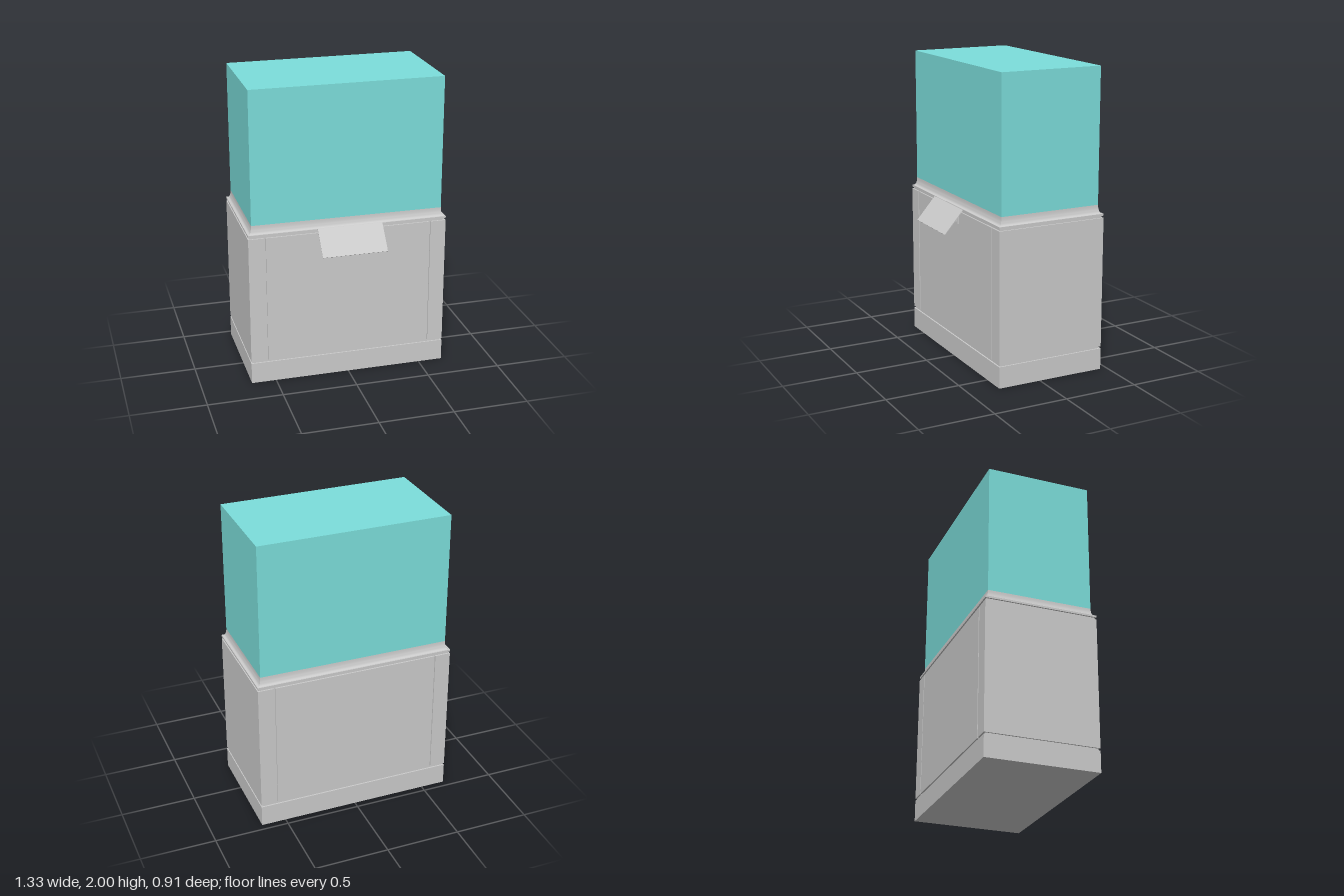
import * as THREE from 'three';
import { toCreasedNormals } from 'three/addons/utils/BufferGeometryUtils.js';

const W = 1.33, D = 0.75, CZ = -0.08; // cabinet footprint and its z centre

export function createModel() {
  const model = new THREE.Group();
  model.name = 'displayCase';
  const grey = new THREE.MeshStandardMaterial({ color: 0xcccccc });
  const glass = new THREE.MeshStandardMaterial({ color: 0x7cdedb });

  const add = (name, geometry, material = grey) => {
    const mesh = new THREE.Mesh(geometry, material);
    mesh.name = name;
    model.add(mesh);
    return mesh;
  };
  // Box given by its ranges along each axis
  const box = (name, [x0, x1], [y0, y1], [z0, z1], material) => {
    const mesh = add(name, new THREE.BoxGeometry(x1 - x0, y1 - y0, z1 - z0), material);
    mesh.position.set((x0 + x1) / 2, (y0 + y1) / 2, (z0 + z1) / 2);
    return mesh;
  };
  // Box with the cabinet's footprint, pulled in by an inset
  const slab = (name, inset, y, material) =>
    box(name, [inset - W / 2, W / 2 - inset], y,
      [CZ - D / 2 + inset, CZ + D / 2 - inset], material);

  // Pedestal: plinth, recessed core showing in the gaps, and cladding
  slab('plinth', 0, [0, 0.143]);
  slab('recessedCore', 0.01, [0.143, 1.042]);
  const panelY = [0.157, 1.027];
  const back = CZ - D / 2, front = CZ + D / 2;
  for (const s of [-1, 1]) {
    const xs = [s * 0.56, s * W / 2].sort((a, b) => a - b);
    box(s > 0 ? 'leftSidePanel' : 'rightSidePanel', xs, panelY, [back, front]);
  }
  box('frontPanel', [-0.55, 0.55], panelY, [front - 0.03, front]);
  box('backPanel', [-0.55, 0.55], panelY, [back, back + 0.03]);

  // Ledge and concave cornice, swept around the rectangle with mitred corners
  const profile = [[0, 1.041], [0, 1.054], [0.006, 1.054]];
  for (let i = 1; i <= 8; i++) {
    const a = (i / 8) * Math.PI / 2;
    profile.push([0.006 + 0.021 * Math.sin(a), 1.11 - 0.056 * Math.cos(a)]);
  }
  profile.unshift([0.04, 1.041]);
  profile.push([0.04, 1.11]);
  const corners = [[-1, 1], [1, 1], [1, -1], [-1, -1]];
  const at = ([inset, y], [sx, sz]) =>
    [sx * (W / 2 - inset), y, CZ + sz * (D / 2 - inset)];
  const pos = [];
  for (let i = 0; i < profile.length - 1; i++) {
    corners.forEach((c, k) => {
      const n = corners[(k + 1) % 4];
      const a = at(profile[i], c), b = at(profile[i], n);
      const e = at(profile[i + 1], n), d = at(profile[i + 1], c);
      pos.push(...a, ...b, ...e, ...a, ...e, ...d);
    });
  }
  const cornice = new THREE.BufferGeometry();
  cornice.setAttribute('position', new THREE.Float32BufferAttribute(pos, 3));
  add('cornice', toCreasedNormals(cornice, 0.6));

  // Glass hood
  slab('glassHood', 0.027, [1.06, 2], glass);

  // Label holder: wall plate, bent arm and tilted label plate
  box('wallPlate', [-0.09, 0.09], [0.942, 0.996], [front, front + 0.01]);
  const armSide = new THREE.Shape([
    [0.3, 0.958], [0.375, 0.958], [0.394, 0.985],
    [0.373, 1.01], [0.363, 0.984], [0.3, 0.984],
  ].map(([z, y]) => new THREE.Vector2(z, y)));
  const arm = new THREE.ExtrudeGeometry(armSide, { depth: 0.16, bevelEnabled: false });
  arm.rotateY(-Math.PI / 2); // shape x becomes z
  arm.translate(0.08, 0, 0);
  add('labelArm', arm);
  const plate = add('labelPlate', new THREE.BoxGeometry(0.432, 0.198, 0.004));
  plate.position.set(0, 0.993, 0.39);
  plate.rotation.x = -Math.atan2(0.13, 0.15);

  return model;
}
